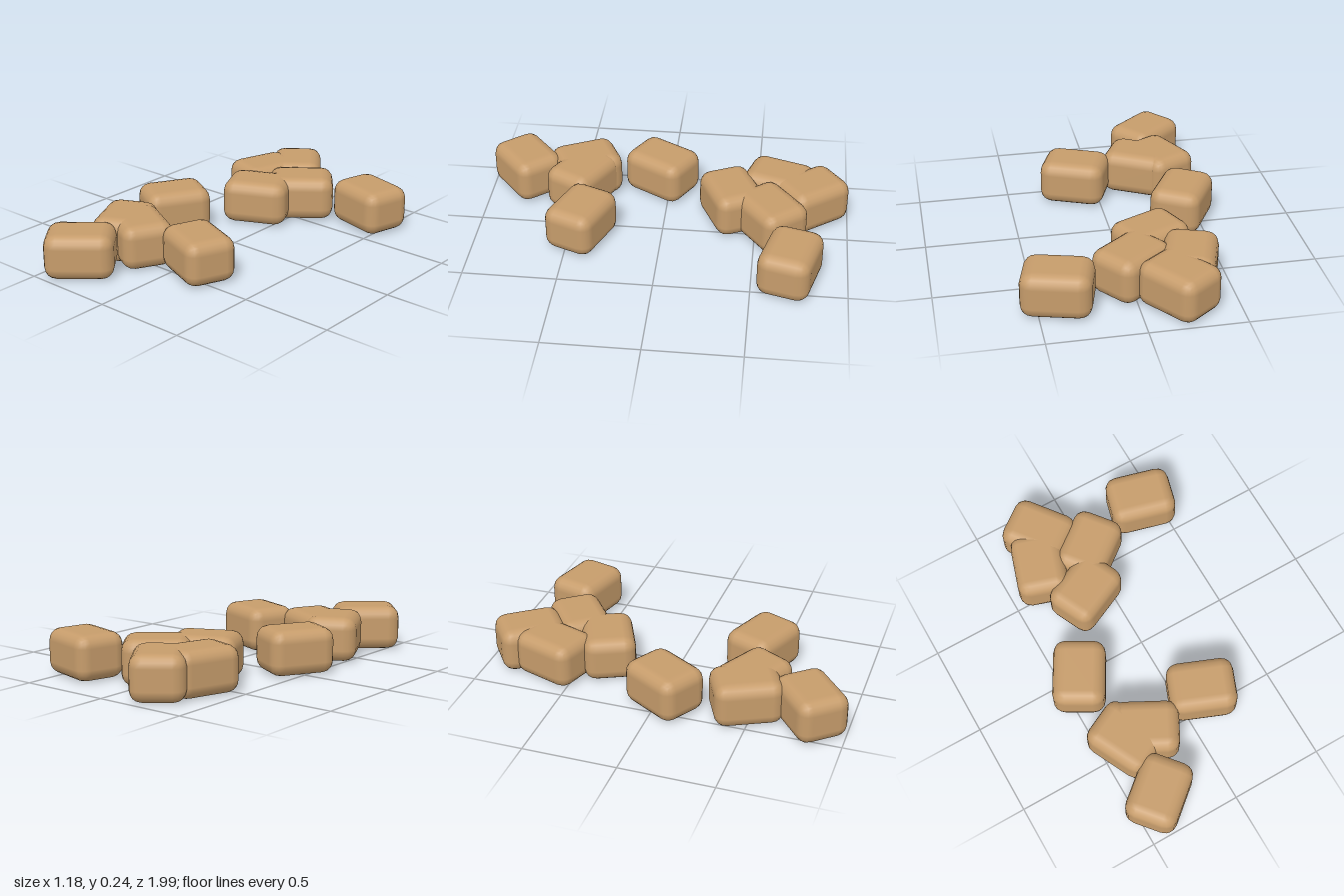
import * as THREE from 'three';
import { RoundedBoxGeometry } from 'three/addons/geometries/RoundedBoxGeometry.js';

const LENGTH = 0.36, HEIGHT = 0.243, WIDTH = 0.28, BEVEL = 0.066;

// Each stone: name, x, z, heading of its long side in degrees (from +x towards +z)
const STONES = [
  ['backStone', -0.198, -0.794, 53],
  ['backLeftStone', -0.29, -0.615, 108],
  ['backMiddleStone', 0.0, -0.58, -38],
  ['backInnerStone', -0.14, -0.367, -25],
  ['backOuterStone', 0.393, -0.697, 15],
  ['middleStone', -0.406, 0.042, 120],
  ['frontLeftStone', -0.364, 0.467, 64],
  ['frontInnerStone', -0.25, 0.473, 28],
  ['frontOuterStone', 0.121, 0.427, 22],
  ['frontStone', -0.356, 0.802, -40],
];

export function createModel() {
  const group = new THREE.Group();
  group.name = 'scatteredStones';

  const sandstone = new THREE.MeshStandardMaterial({ color: 0xc69c6b });
  sandstone.name = 'sandstone';

  // One bevelled block shared by every stone
  const block = new RoundedBoxGeometry(LENGTH, HEIGHT, WIDTH, 2, BEVEL);

  for (const [name, x, z, heading] of STONES) {
    const stone = new THREE.Mesh(block, sandstone);
    stone.name = name;
    stone.position.set(x, HEIGHT / 2, z);
    stone.rotation.y = -THREE.MathUtils.degToRad(heading);
    group.add(stone);
  }
  return group;
}
